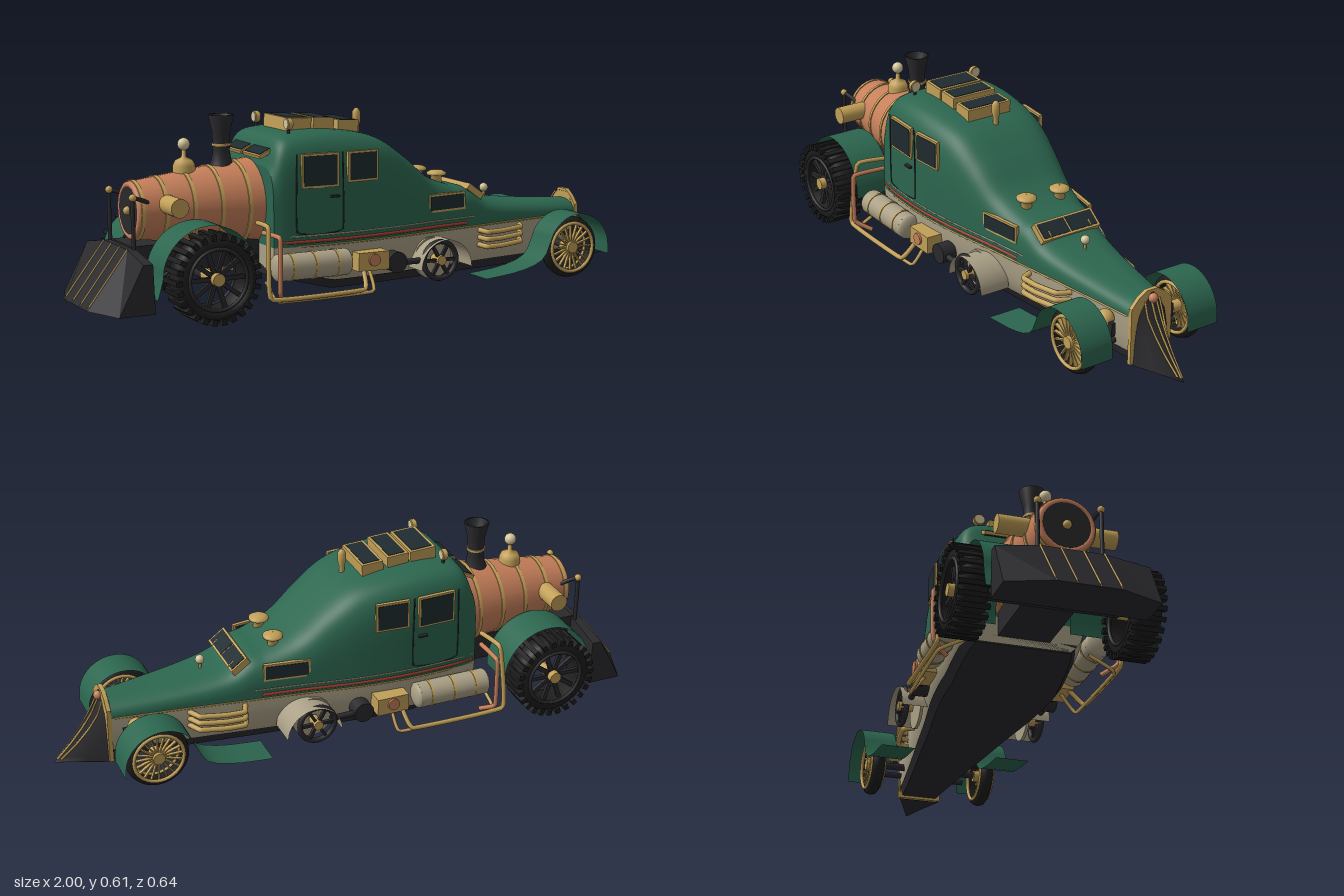
import * as THREE from 'three';

const V = (x, y, z) => new THREE.Vector3(x, y, z);
const mat = (color) => new THREE.MeshStandardMaterial({ color, side: THREE.DoubleSide });
const green = mat(0x2c664f), copper = mat(0xc67f5a), brass = mat(0xc2a058), cream = mat(0xaaa086);
const black = mat(0x2a2a2d), rubber = mat(0x1d1d1d), glass = mat(0x1f2b2f), red = mat(0x9c3c2a), dial = mat(0xd6c79c);

// Skin a row of cross-sections; capped closes both ends, flat gives faceted shading
function loft(rows, { capped = false, flat = false } = {}) {
  const n = rows[0].length, pos = [], idx = [];
  rows.forEach((r) => r.forEach((p) => pos.push(p.x, p.y, p.z)));
  for (let i = 0; i < rows.length - 1; i++) for (let j = 0; j < n - 1; j++) {
    const a = i * n + j, b = a + n;
    idx.push(a, b, a + 1, b, b + 1, a + 1);
  }
  if (capped) [rows[0], rows[rows.length - 1]].forEach((r, e) => {
    const base = pos.length / 3;
    r.forEach((p) => pos.push(p.x, p.y, p.z));
    for (let j = 1; j < n - 1; j++) e ? idx.push(base, base + j + 1, base + j) : idx.push(base, base + j, base + j + 1);
  });
  let g = new THREE.BufferGeometry();
  g.setAttribute('position', new THREE.Float32BufferAttribute(pos, 3));
  g.setIndex(idx);
  if (flat) g = g.toNonIndexed();
  g.computeVertexNormals();
  return g;
}

// Body line: x, roof height, half width
const bodyCurve = new THREE.CatmullRomCurve3([
  V(-.41, .46, .195), V(-.37, .545, .206), V(-.3, .561, .213), V(-.15, .558, .215), V(0, .528, .202), V(.1, .465, .186),
  V(.2, .385, .168), V(.3, .345, .153), V(.355, .335, .145), V(.42, .297, .135), V(.5, .278, .122), V(.65, .262, .1), V(.83, .25, .075)]);
const stations = bodyCurve.getPoints(84);
function at(x) {
  const i = Math.max(1, stations.findIndex((p) => p.x >= x));
  const a = stations[i - 1], b = stations[i];
  return a.clone().lerp(b, (x - a.x) / (b.x - a.x));
}
const bottomY = (x) => .06 + Math.max(0, -.2 - x) * .27;
const BELT = .205;

export function createModel() {
  const model = new THREE.Group();
  const add = (name, geo, m, p = [0, 0, 0], r = [0, 0, 0], parent = model) => {
    const mesh = new THREE.Mesh(geo, m);
    mesh.name = name;
    mesh.position.set(...p);
    mesh.rotation.set(...r);
    parent.add(mesh);
    return mesh;
  };
  const turn = { x: [0, 0, -Math.PI / 2], y: [0, 0, 0], z: [Math.PI / 2, 0, 0] };
  const cyl = (name, r0, r1, h, p, axis, m, parent, seg = 28) =>
    add(name, new THREE.CylinderGeometry(r1, r0, h, seg), m, p, turn[axis], parent);
  const box = (name, s, p, m, r, parent) => add(name, new THREE.BoxGeometry(...s), m, p, r, parent);
  const ball = (name, r, p, m) => add(name, new THREE.SphereGeometry(r, 20, 14), m, p);
  const tube = (name, pts, r, m) => add(name, new THREE.TubeGeometry(
    new THREE.CatmullRomCurve3(pts.map((p) => V(...p)), false, 'catmullrom', .12), pts.length * 10, r, 8), m);
  const lathe = (name, pts, p, axis, m, parent) =>
    add(name, new THREE.LatheGeometry(pts.map((q) => new THREE.Vector2(...q)), 36), m, p, turn[axis], parent);
  const strip = (name, pts, z0, z1, m) => {
    const c = new THREE.SplineCurve(pts.map((p) => new THREE.Vector2(...p))).getPoints(40);
    return add(name, loft(c.map((q) => [V(q.x, q.y, z0), V(q.x, q.y, z1)])), m);
  };
  const arc = (cx, cy, r, a0, a1) => Array.from({ length: 13 }, (_, i) => {
    const a = (a0 + (a1 - a0) * i / 12) * Math.PI / 180;
    return [cx + r * Math.cos(a), cy + r * Math.sin(a)];
  });
  const pane = (name, w, h, p, r) => {
    const g = new THREE.Group();
    g.name = name; g.position.set(...p); g.rotation.set(...r);
    box('windowFrame', [w, h, .012], [0, 0, 0], brass, undefined, g);
    box('windowGlass', [w - .014, h - .014, .016], [0, 0, 0], glass, undefined, g);
    model.add(g);
  };

  // Body shell, lower panels and belly pan
  add('bodyShell', loft(stations.map((s) => {
    const n = THREE.MathUtils.mapLinear(s.x, -.41, .83, 6.2, 2.2);
    return Array.from({ length: 37 }, (_, j) => {
      const t = Math.PI * j / 36, c = Math.cos(t), e = 2 / n;
      return V(s.x, BELT + (s.y - BELT) * Math.pow(Math.abs(Math.sin(t)), e), Math.sign(c) * s.z * Math.pow(Math.abs(c), e));
    });
  }), { capped: true }), green);
  add('lowerPanels', loft(stations.map((s) => Array.from({ length: 18 }, (_, j) => {
    const k = j < 9 ? j / 8 : (17 - j) / 8, yb = bottomY(s.x);
    return V(s.x, BELT - (BELT - yb) * k, (j < 9 ? -1 : 1) * s.z * (1 - .22 * k ** 3));
  })), { capped: true }), cream);
  add('bellyPan', loft(stations.map((s) => [[-.9, .025], [-.8, -.006], [.8, -.006], [.9, .025]].map(
    ([k, d]) => V(s.x, bottomY(s.x) + d, s.z * k))), { capped: true, flat: true }), black);

  // Boiler with bands and end plate
  cyl('boiler', .092, .142, .4, [-.61, .33, 0], 'x', copper);
  [-.805, -.73, -.64, -.55, -.46].forEach((x) => {
    const r = .092 + (x + .81) / .4 * .05 + .003;
    cyl('boilerBand', r, r + .001, .012, [x, .33, 0], 'x', brass);
  });
  add('boilerRing', new THREE.TorusGeometry(.082, .011, 10, 32), copper, [-.812, .33, 0], [0, Math.PI / 2, 0]);
  cyl('boilerDoor', .076, .076, .012, [-.815, .33, 0], 'x', black);
  ball('boilerDoorKnob', .014, [-.824, .33, 0], brass);
  lathe('chimney', [[.04, 0], [.032, .02], [.027, .05], [.029, .11], [.042, .165], [.034, .165], [.022, .11], [.001, .1]], [-.5, .45, 0], 'y', black);
  cyl('chimneyBand', .031, .031, .008, [-.5, .52, 0], 'y', brass);
  lathe('steamDome', [[.036, 0], [.036, .035], [.028, .052], [.008, .062], [.006, .1], [.001, .1]], [-.63, .425, 0], 'y', brass);
  ball('domeGauge', .02, [-.63, .528, 0], dial);
  box('chassisFrame', [.45, .09, .17], [-.62, .185, 0], black);
  cyl('rearAxle', .018, .018, .5, [-.655, .15, 0], 'z', black);
  cyl('frontAxle', .012, .012, .4, [.71, .118, 0], 'z', black);

  // Rear plow
  const plowCols = [[-.24, -.95, -.87, .2], [-.1, -1, -.865, .225], [.1, -1, -.865, .225], [.24, -.95, -.87, .2]];
  add('plow', loft(plowCols.map(([z, xb, xt, yt]) =>
    [V(xb, .045, z), V(xt, yt, z), V(-.838, yt, z), V(-.832, .045, z), V(xb, .045, z)]), { capped: true, flat: true }), black);
  [-.1, -.035, .035, .1].forEach((z) => tube('plowRib', [[-1, .05, z], [-.865, .226, z]], .003, brass));

  // Roof skylights, whistle
  [[-.265, .09, .572], [-.175, .075, .568], [-.085, .075, .556]].forEach(([x, w, y]) => {
    box('skylightFrame', [w, .055, .165], [x, y, 0], brass, [0, 0, -.05]);
    box('skylightGlass', [w - .018, .058, .145], [x, y, 0], glass, [0, 0, -.05]);
  });
  lathe('whistle', [[.009, 0], [.009, .03], [.014, .05], [.014, .078], [.006, .09], [.001, .092]], [-.01, .52, 0], 'y', brass);

  // Windscreens, hood gauge
  const slope = Math.atan2(.04, .055);
  box('windscreenFrame', [.068, .022, .222], [.388, .317, 0], brass, [0, 0, -slope]);
  [-1, 1].forEach((s) => {
    box('windscreenGlass', [.054, .026, .1], [.388, .317, s * .053], glass, [0, 0, -slope]);
    tube('wiper', [[.42, .305, s * .077], [.4, .326, s * .077]], .003, brass);
    pane('rearWindow', .125, .075, [-.394, .503, s * .07], [-1.13, -Math.PI / 2, 0, 'YXZ']);
  });
  cyl('hoodGaugeStem', .005, .005, .04, [.49, .29, 0], 'y', brass);
  ball('hoodGauge', .015, [.49, .31, 0], dial);

  // Pointed nose with brass surround and ribs
  const noseX = (y) => .835 + .162 * Math.pow(1 - (y - .04) / .235, 1.35);
  const noseW = (y) => y < .22 ? .072 : .072 - .042 * ((y - .22) / .055) ** 1.5;
  const rows = Array.from({ length: 17 }, (_, i) => {
    const y = .04 + .235 * i / 16, w = noseW(y), x = noseX(y);
    return [V(.815, y, -w), V(.815 + (x - .815) * .45, y, -w * .52), V(x, y, 0), V(.815 + (x - .815) * .45, y, w * .52), V(.815, y, w)];
  });
  add('noseWedge', loft(rows, { capped: true }), black);
  [-.5, -.17, .17, .5].forEach((f) => tube('noseRib', [.25, .2, .15, .1, .05].map((y, i) => {
    const k = f * (1 - i * .2);
    return [.818 + (noseX(y) - .815) * (1 - Math.abs(k) * 1.04), y, k * noseW(y)];
  }), .0032, brass));
  const arch = new THREE.Shape([[-.077, .045], [.077, .045], [.077, .235], [.05, .265], [.02, .284], [-.02, .284], [-.05, .265], [-.077, .235]]
    .map((p) => new THREE.Vector2(...p)));
  add('noseSurround', new THREE.ExtrudeGeometry(arch, { depth: .014, bevelEnabled: false }), brass, [.817, 0, 0], [0, Math.PI / 2, 0]);
  ball('noseCap', .016, [.835, .257, 0], copper);

  // Wheel hung at (x, y, z); spokes radiate from a brass hub
  function wheel(name, p, R, w, rimR, spokes, rimMat, treads) {
    const g = new THREE.Group();
    g.name = name; g.position.set(...p);
    const h = w / 2;
    lathe('tyre', [[rimR, -h], [R - .018, -h], [R - .004, -h * .65], [R, 0], [R - .004, h * .65], [R - .018, h], [rimR, h], [rimR, -h]], [0, 0, 0], 'z', rubber, g);
    [-h, h].forEach((z) => add('rim', new THREE.TorusGeometry(rimR, .006, 8, 36), rimMat, [0, 0, z], [0, 0, 0], g));
    cyl('hub', .02, .02, w + .01, [0, 0, 0], 'z', brass, g);
    for (let i = 0; i < spokes; i++) {
      const a = i / spokes * Math.PI * 2;
      const s = box('spoke', [rimR, treads ? .014 : .0045, .012], [Math.cos(a) * rimR / 2, Math.sin(a) * rimR / 2, h * .5 * (p[2] > 0 ? 1 : -1)], rimMat, undefined, g);
      s.rotation.z = a;
    }
    for (let i = 0; i < treads; i++) {
      const a = i / treads * Math.PI * 2;
      box('treadBlock', [.02, .016, w + .014], [Math.cos(a) * (R - .006), Math.sin(a) * (R - .006), 0], rubber, [0, 0, a], g);
    }
    model.add(g);
  }

  // Everything that repeats on both sides
  [1, -1].forEach((s) => {
    const lean = (x) => Math.atan2(at(x - .03).z - at(x + .03).z, .06) * s;
    const beside = (x, y, d = 0) => [x, y, s * (at(x).z + d)];
    wheel('rearWheel', [-.655, .148, s * .27], .138, .09, .095, 10, black, 26);
    wheel('frontWheel', [.71, .115, s * .2], .106, .045, .083, 20, brass, 0);
    strip('rearFender', [...arc(-.655, .148, .158, -5, 180), [-.83, .09]], s * .12, s * .255, green);
    strip('frontFender', [[.832, .09], ...arc(.71, .115, .121, 10, 165), [.56, .09], [.47, .06], [.34, .046]], s * .145, s * .262, green);

    // Windows, door and trim lines
    pane('doorWindow', .13, .11, beside(-.255, .445, -.003), [0, lean(-.255), 0]);
    pane('sideWindow', .115, .1, beside(-.1, .45, -.003), [0, lean(-.1), 0]);
    pane('frontSideWindow', .155, .06, beside(.247, .298, -.006), [0, lean(.247), 0]);
    tube('doorSeam', [beside(-.335, .5), beside(-.335, .25), beside(-.175, .25), beside(-.175, .5)], .0022, black);
    box('doorHandle', [.03, .007, .012], beside(-.205, .36, .006), black);
    const line = (x0, x1, y, d) => Array.from({ length: 12 }, (_, i) => beside(x0 + (x1 - x0) * i / 11, y, d));
    tube('creamTrim', line(-.4, .36, .238, -.001), .003, cream);
    tube('redStripe', line(-.4, .33, .22, -.002), .006, red);
    tube('sillTrim', line(-.4, .81, BELT, 0), .003, brass);

    // Roof lamps and mushroom vents
    cyl('roofLampStem', .005, .005, .05, [-.32, .56, s * .12], 'y', black);
    cyl('roofLampRim', .019, .019, .014, [-.32, .587, s * .12], 'x', brass);
    cyl('roofLampLens', .016, .016, .02, [-.32, .587, s * .12], 'x', dial);
    lathe('roofVent', [[.018, 0], [.018, .035], [.033, .04], [.033, .048], [.02, .055], [.001, .057]], [.26, .338, s * .065], 'y', brass);

    // Tank, gearbox, motor and flywheel
    cyl('tank', .043, .043, .24, [-.3, .15, s * .24], 'x', cream);
    [-.42, -.18].forEach((x) => add('tankEnd', new THREE.SphereGeometry(.043, 20, 12).scale(.4, 1, 1), cream, [x, .15, s * .24]));
    [-.38, -.3, -.22].forEach((x) => cyl('tankBand', .045, .045, .008, [x, .15, s * .24], 'x', brass));
    box('gearbox', [.11, .06, .06], [-.085, .145, s * .23], brass);
    cyl('gearboxCap', .02, .02, .075, [-.085, .15, s * .23], 'z', copper);
    cyl('motor', .034, .034, .05, [.012, .13, s * .22], 'z', black);
    cyl('motorShaft', .01, .01, .15, [.05, .125, s * .225], 'x', black);
    add('flywheelRim', new THREE.TorusGeometry(.061, .009, 10, 36), black, [.175, .122, s * .235]);
    cyl('flywheelHub', .016, .016, .05, [.175, .122, s * .225], 'z', brass);
    for (let i = 0; i < 3; i++) box('flywheelSpoke', [.12, .01, .012], [.175, .122, s * .235], black, [0, 0, i * Math.PI / 3]);
    strip('flywheelCowl', arc(.19, .095, .095, 0, 180), s * .15, s * .257, cream);
    cyl('flywheelBacking', .07, .07, .01, [.175, .122, s * .185], 'z', cream);

    // Exhaust pipes, guard rails, steam pipes
    [.14, .165, .19].forEach((y) => tube('exhaustPipe', [beside(.57, y, -.01), beside(.545, y, .035), [.46, y - .004, s * .168], [.4, y - .004, s * .172], beside(.385, y, -.01)], .009, brass));
    tube('guardRail', [[-.45, .285, s * .16], [-.465, .285, s * .27], [-.47, .065, s * .297], [-.14, .065, s * .297], [-.12, .12, s * .25]], .008, brass);
    tube('lowerRail', [[-.44, .1, s * .2], [-.44, .052, s * .285], [-.1, .052, s * .28], [-.09, .12, s * .23]], .006, brass);
    tube('steamPipe', [[-.44, .255, s * .18], [-.44, .255, s * .3], [-.44, .085, s * .3], [-.41, .05, s * .25]], .008, copper);

    // Boiler valves, plow supports and headlamps
    cyl('boilerValve', .03, .03, .1, [-.725, .355, s * .14], 'z', brass);
    tube('plowSupport', [[-.84, .06, s * .1], [-.845, .38, s * .1], [-.78, .36, s * .08]], .007, black);
    ball('supportKnob', .012, [-.845, .385, s * .1], brass);
    tube('plowBrace', [[-.84, .14, s * .1], [-.7, .18, s * .06]], .012, black);
    ball('headlamp', .03, [.745, .18, s * .112], brass);
    box('headlampBracket', [.05, .045, .014], [.765, .16, s * .112], black);
    cyl('damper', .01, .01, .06, [.76, .105, s * .115], 'z', black);
  });
  return model;
}
